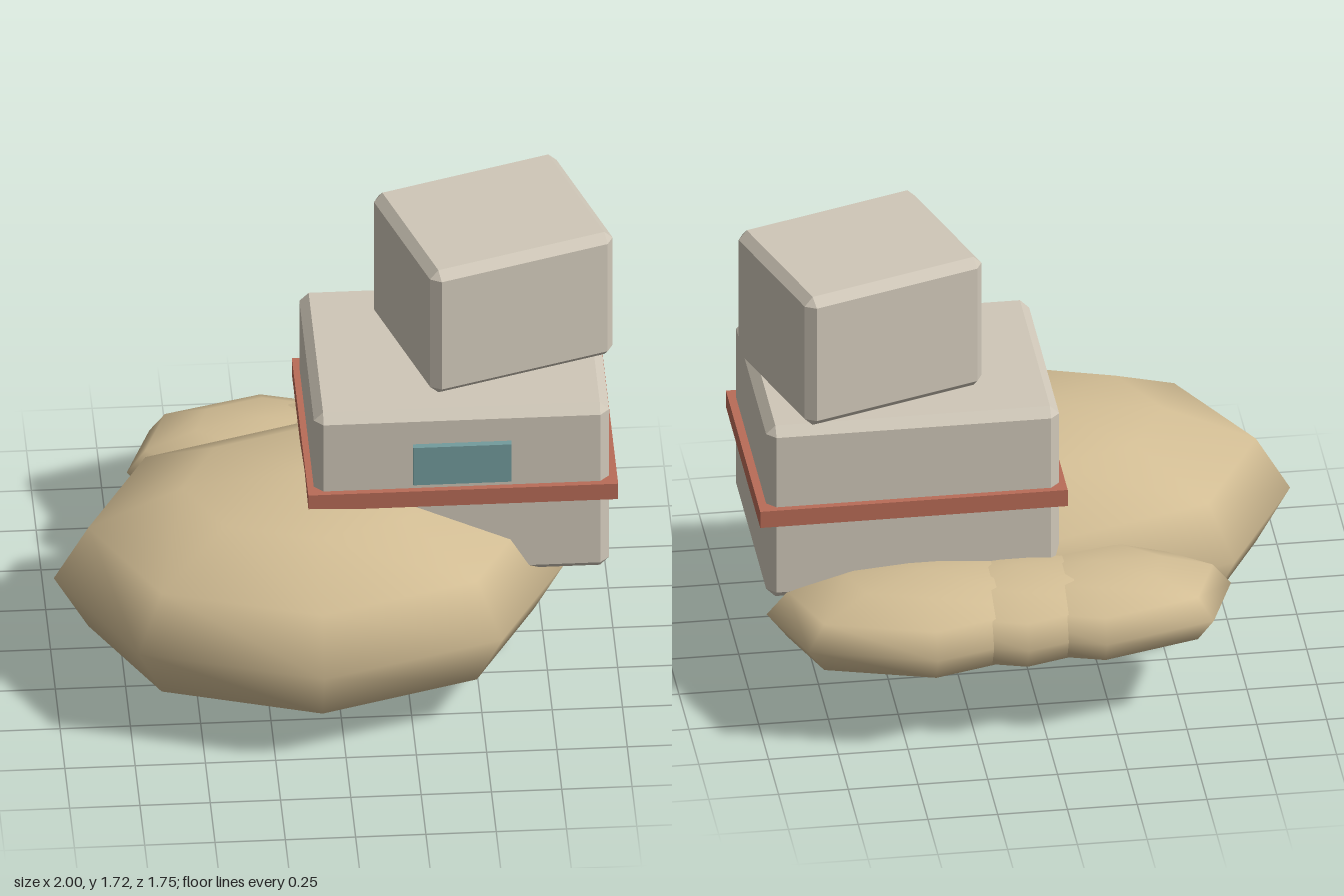
import * as THREE from 'three';
import { ConvexGeometry } from 'three/addons/geometries/ConvexGeometry.js';

const material = (name, color) => {
  const m = new THREE.MeshStandardMaterial({ color });
  m.name = name;
  return m;
};

// Box with flat bevels on every edge
function bevelledBox(w, h, d, c) {
  const points = [];
  for (const x of [-w / 2, w / 2])
    for (const y of [-h / 2, h / 2])
      for (const z of [-d / 2, d / 2]) {
        const ix = x - Math.sign(x) * c, iy = y - Math.sign(y) * c, iz = z - Math.sign(z) * c;
        points.push(
          new THREE.Vector3(x, iy, iz),
          new THREE.Vector3(ix, y, iz),
          new THREE.Vector3(ix, iy, z));
      }
  return new ConvexGeometry(points);
}

// Low-poly smooth ellipsoid with its poles up and down
function mound(segments, turn, rx, ry, rz) {
  return new THREE.SphereGeometry(1, segments, 6).rotateY(turn).scale(rx, ry, rz);
}

export function createModel() {
  const group = new THREE.Group();
  const sand = material('sand', 0xd2bd94);
  const stone = material('pale stone', 0xcfc7b8);
  const clay = material('clay red', 0xb96c57);
  const teal = material('dusty teal', 0x739c9d);

  const add = (name, geometry, mat, x, y, z) => {
    const mesh = new THREE.Mesh(geometry, mat);
    mesh.name = name;
    mesh.position.set(x, y, z);
    group.add(mesh);
    return mesh;
  };

  // Large mound
  add('mainMound', mound(8, 0, 0.915, 0.422, 0.7), sand, -0.085, 0.423, 0.17);

  // Row of three overlapping small mounds behind: x, z, radii
  [
    [-0.2, -0.538, 0.51, 0.17, 0.307],
    [0.08, -0.535, 0.52, 0.175, 0.315],
    [0.41, -0.535, 0.57, 0.187, 0.34],
  ].forEach(([x, z, rx, ry, rz], i) =>
    add(`rearMound${i + 1}`, mound(7, -Math.PI / 2, rx, ry, rz), sand, x, 0.426, z));

  // Lower block with its band and front window
  add('lowerBlock', bevelledBox(1.05, 0.7, 0.82, 0.033), stone, 0.44, 0.838, -0.065);
  add('band', new THREE.BoxGeometry(1.102, 0.066, 0.866), clay, 0.443, 0.838, -0.066);
  add('window', new THREE.BoxGeometry(0.35, 0.16, 0.03), teal, 0.44, 0.979, 0.354);

  // Upper block, turned on top of the lower one
  const upper = add('upperBlock', bevelledBox(0.7, 0.525, 0.59, 0.032), stone, 0.583, 1.46, -0.123);
  upper.rotation.y = 0.32;

  return group;
}
